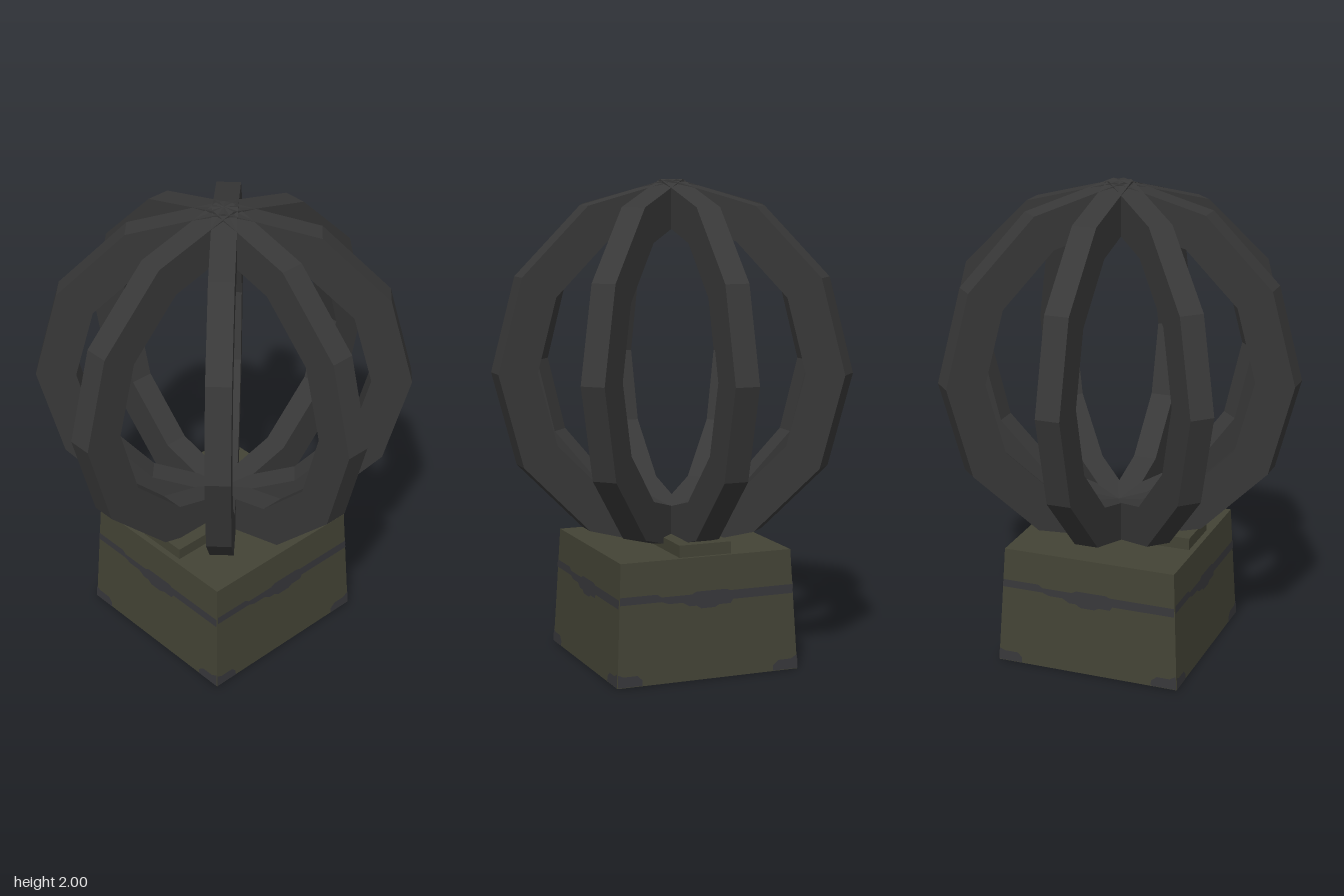
import * as THREE from 'three';

const olive = new THREE.MeshStandardMaterial({ name: 'olive', color: 0x434335, side: THREE.DoubleSide });
const ringGrey = new THREE.MeshStandardMaterial({ name: 'ring grey', color: 0x383838 });
const paintGrey = new THREE.MeshStandardMaterial({ name: 'worn paint grey', color: 0x37373a, side: THREE.DoubleSide });

const BASE_H = 0.5, BOTTOM = 0.396, TOP = 0.371;
// half-width of the tapered base at height y
const halfAt = (y) => BOTTOM + (TOP - BOTTOM) * (y / BASE_H);

function mesh(name, geometry, material) {
  const m = new THREE.Mesh(geometry, material);
  m.name = name;
  return m;
}

// flat outline laid onto the sloping front wall, pushed out by offset
function wallGeometry(points, offset = 0) {
  const g = new THREE.ShapeGeometry(new THREE.Shape(points.map(([x, y]) => new THREE.Vector2(x, y))));
  const p = g.attributes.position;
  for (let i = 0; i < p.count; i++) p.setZ(i, halfAt(p.getY(i)) + offset);
  g.computeVertexNormals();
  return g;
}

const WALL = [[-BOTTOM, 0], [BOTTOM, 0], [TOP, BASE_H], [-TOP, BASE_H]];
const PAINT = {
  stripe: [[-0.378, 0.333], [-0.2, 0.333], [-0.17, 0.322], [-0.11, 0.322], [-0.08, 0.305], [-0.05, 0.305],
    [-0.03, 0.292], [0.03, 0.292], [0.05, 0.302], [0.1, 0.302], [0.11, 0.318], [0.378, 0.318],
    [0.377, 0.355], [0.1, 0.355], [0.08, 0.362], [-0.05, 0.362], [-0.07, 0.352], [-0.2, 0.352],
    [-0.22, 0.365], [-0.377, 0.365]],
  leftScuff: [[-0.395, 0.003], [-0.29, 0.003], [-0.29, 0.025], [-0.31, 0.045], [-0.37, 0.045], [-0.393, 0.055]],
  rightScuff: [[0.285, 0.003], [0.395, 0.003], [0.392, 0.06], [0.365, 0.045], [0.31, 0.045], [0.285, 0.025]],
};

function makeRing() {
  const polygon = (r) => Array.from({ length: 12 }, (_, i) =>
    new THREE.Vector2(r * Math.cos(i * Math.PI / 6), r * Math.sin(i * Math.PI / 6)));
  const shape = new THREE.Shape(polygon(0.765));
  shape.holes.push(new THREE.Path(polygon(0.6)));
  const g = new THREE.ExtrudeGeometry(shape, { depth: 0.1, bevelEnabled: false });
  g.translate(0, 0, -0.045);
  return g;
}

export function createModel() {
  const model = new THREE.Group();
  model.name = 'ringGlobeOnBase';

  // hollow tapered base, open underneath
  const base = new THREE.Group();
  base.name = 'base';
  base.position.set(-0.002, 0, 0.009);
  for (let i = 0; i < 4; i++) {
    const side = new THREE.Group();
    side.name = 'baseSide';
    side.rotation.y = i * Math.PI / 2;
    side.add(mesh('wall', wallGeometry(WALL), olive));
    // worn paint shows on both faces of the wall
    for (const [name, points] of Object.entries(PAINT))
      for (const offset of [0.003, -0.003]) side.add(mesh(name, wallGeometry(points, offset), paintGrey));
    base.add(side);
  }
  const lid = mesh('baseTop', new THREE.PlaneGeometry(TOP * 2, TOP * 2).rotateX(-Math.PI / 2), olive);
  lid.position.y = BASE_H;
  base.add(lid);
  model.add(base);

  // raised strip under the rings
  const strip = mesh('mountingStrip', new THREE.BoxGeometry(0.225, 0.05, 0.7), olive);
  strip.position.set(-0.002, 0.525, 0.005);
  model.add(strip);

  // four crossing twelve-sided rings
  const ringGeometry = makeRing();
  for (let i = 0; i < 4; i++) {
    const ring = mesh('ring', ringGeometry, ringGrey);
    ring.position.y = 1.235;
    ring.rotation.y = i * Math.PI / 4;
    model.add(ring);
  }
  return model;
}
